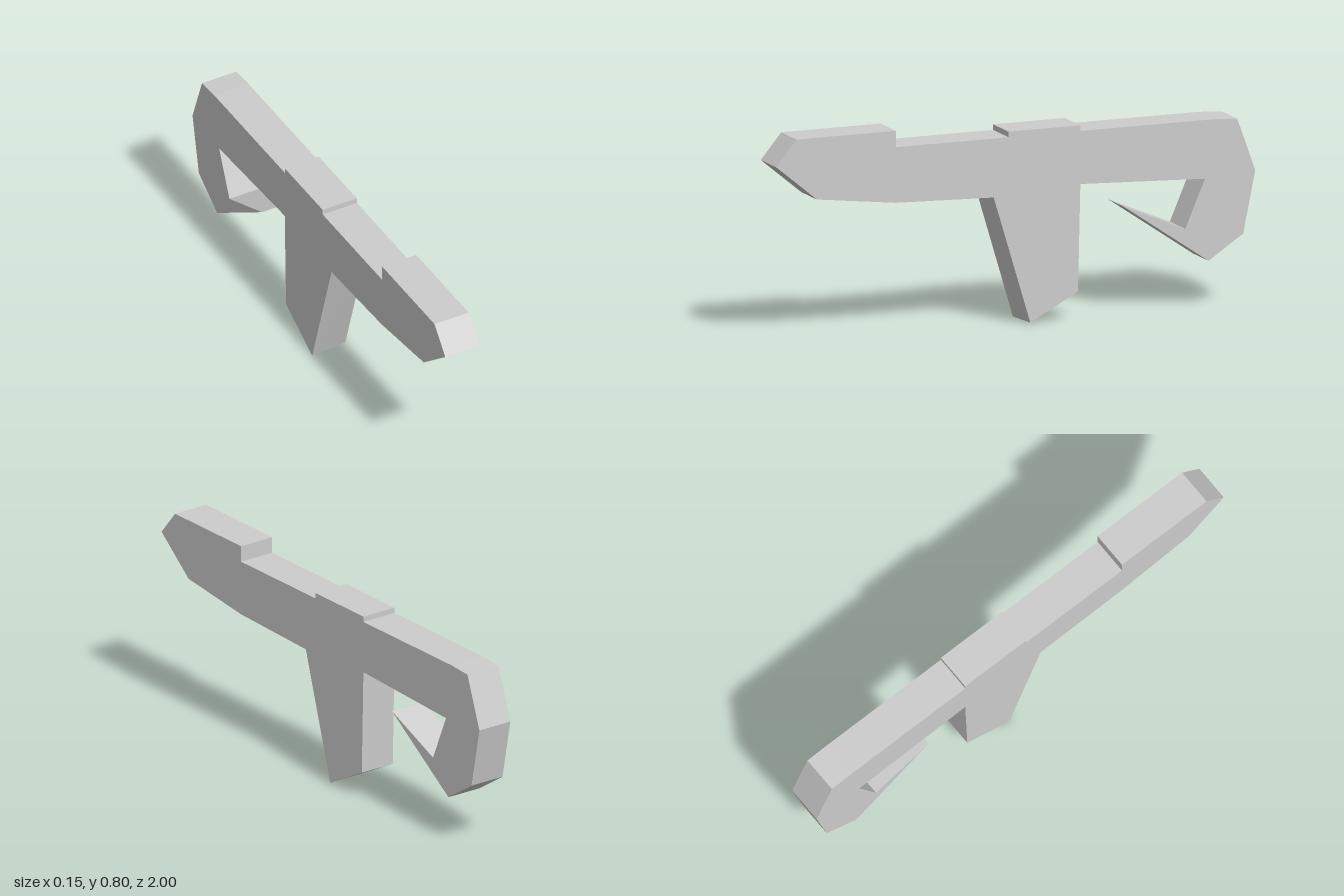
import * as THREE from 'three';

const WIDTH = 0.15;

// Side outline as [z, y] runs, clockwise from the nose tip
const topEdge = [
  [1, 0.7], [0.915, 0.802], [0.5, 0.802], [0.5, 0.738],         // nose and raised front block
  [0.03, 0.738], [0.03, 0.76], [-0.27, 0.76], [-0.27, 0.738],   // raised middle pad
  [-0.83, 0.738], [-0.925, 0.732],
];
const rearHook = [
  [-1, 0.525], [-0.95, 0.28], [-0.805, 0.185],
  [-0.45, 0.427], [-0.708, 0.318], [-0.79, 0.508],
];
const grip = [[-0.27, 0.53], [-0.26, 0.11], [-0.053, 0], [0.1, 0.507]];
const underside = [[0.5, 0.52], [0.83, 0.56]];

export function createModel() {
  const group = new THREE.Group();
  group.name = 'model';
  const grey = new THREE.MeshStandardMaterial({ color: 0xcccccc });
  grey.name = 'grey';
  grey.flatShading = true;

  const outline = [...topEdge, ...rearHook, ...grip, ...underside];
  const shape = new THREE.Shape(outline.map(([z, y]) => new THREE.Vector2(z, y)));
  const geometry = new THREE.ExtrudeGeometry(shape, { depth: WIDTH, bevelEnabled: false });
  geometry.translate(0, 0, -WIDTH / 2);
  geometry.rotateY(-Math.PI / 2);

  // The grip's front edge sits slightly further back on the left side
  const p = geometry.attributes.position;
  for (let i = 0; i < p.count; i++) {
    const z = p.getZ(i), y = p.getY(i);
    if (p.getX(i) > 0 && y < 0.51 && z > -0.06 && z < 0.11) {
      p.setZ(i, z - 0.008);
      if (y < 0.1) p.setY(i, y + 0.004);
    }
  }
  geometry.computeVertexNormals();

  const body = new THREE.Mesh(geometry, grey);
  body.name = 'bodyWithGripAndHook';
  group.add(body);
  return group;
}
